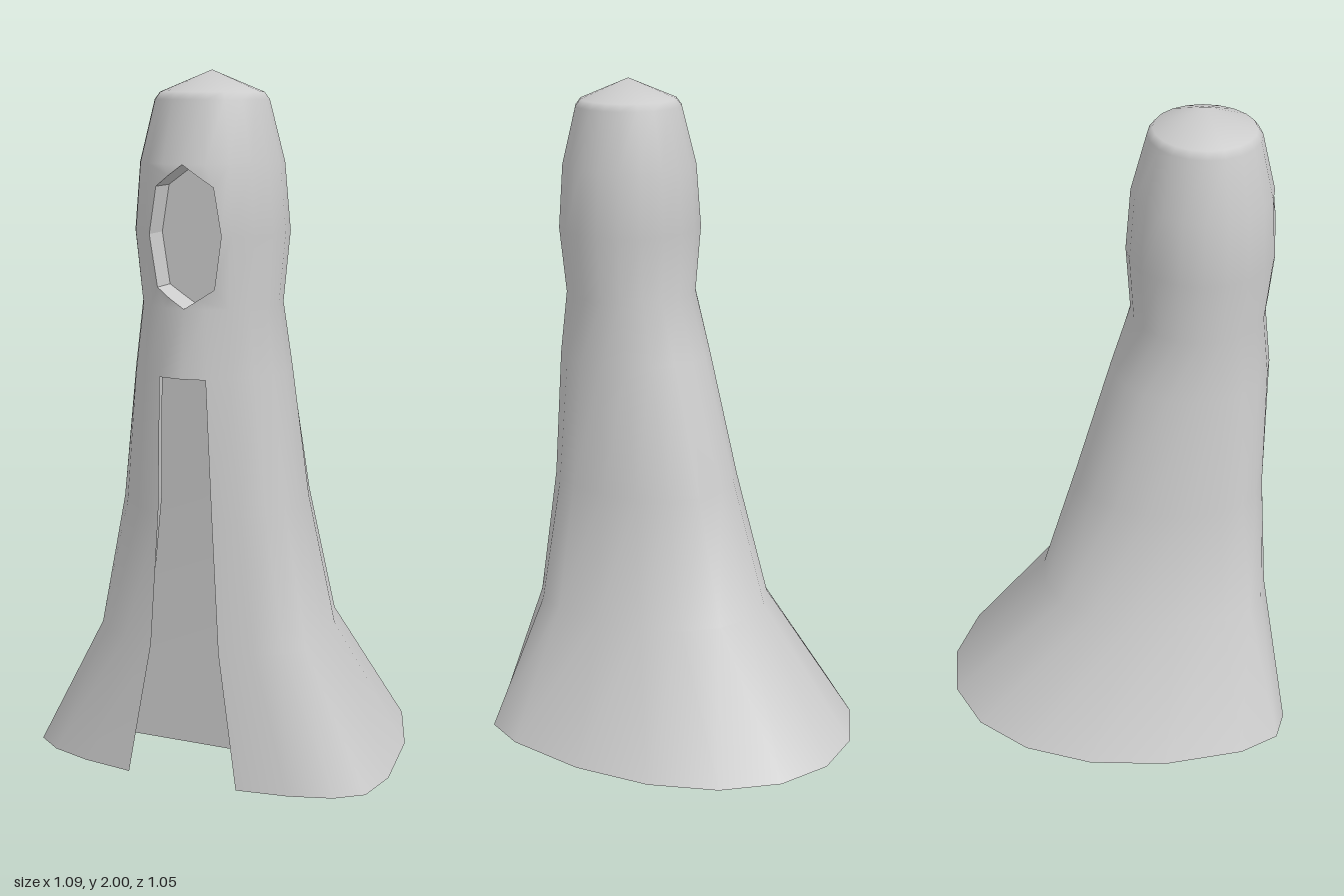
import * as THREE from 'three';
import { mergeVertices } from 'three/addons/utils/BufferGeometryUtils.js';

const SIDES = 20;
const CZ = 0.28; // z of the vertical axis through the head
// Cross-sections: height, half width, depth to the back, depth to the front, front squareness
const RINGS = [
  [0, 0.545, 0.81, 0.25, 0.55],
  [0.39, 0.34, 0.49, 0.225, 0.75],
  [0.78, 0.265, 0.375, 0.215, 0.9],
  [1.17, 0.223, 0.26, 0.223, 1],
  [1.36, 0.2, 0.2, 0.2, 1],
  [1.56, 0.22, 0.215, 0.215, 1],
  [1.75, 0.203, 0.203, 0.203, 1],
  [1.92, 0.16, 0.16, 0.16, 1],
  [1.94, 0.145, 0.145, 0.145, 1],
  [2, 0, 0, 0, 1],
];
const SLIT_TOP = 3, FACE_BOTTOM = 4, FACE_TOP = 6; // ring indices

function sectionAt(y) {
  let i = 0;
  while (i < RINGS.length - 2 && y > RINGS[i + 1][0]) i++;
  const t = (y - RINGS[i][0]) / (RINGS[i + 1][0] - RINGS[i][0]);
  return RINGS[i].map((v, k) => v + (RINGS[i + 1][k] - v) * t);
}

// Point on the cloak; angle 0 is the front and grows towards +x
function surface(angle, y) {
  const [, w, back, front, p] = sectionAt(y);
  const c = Math.cos(angle);
  const z = c > 1e-6 ? front * Math.pow(c, p) : back * Math.min(c, 0);
  return [w * Math.sin(angle), y, CZ + z];
}

function quad(out, a, b, c, d) {
  out.push(...a, ...b, ...c, ...a, ...c, ...d);
}

function toGeometry(points, smooth) {
  let g = new THREE.BufferGeometry();
  g.setAttribute('position', new THREE.Float32BufferAttribute(points, 3));
  if (smooth) g = mergeVertices(g, 1e-4);
  g.computeVertexNormals();
  return g;
}

// Rim of the face opening (x, y), counter-clockwise from the top, with the matching
// point of the surrounding patch (column, y)
const half = [
  [0, 1.75, 0, 1.75],
  [0.043, 1.72, 1, 1.75],
  [0.085, 1.69, 2, 1.75],
  [0.107, 1.56, 2, 1.56],
  [0.085, 1.415, 2, 1.36],
  [0.043, 1.387, 1, 1.36],
  [0, 1.36, 0, 1.36],
];
const mirrored = half.slice(1, -1).reverse().map(([x, y, c, v]) => [-x, y, -c, v]);
const faceLoop = [...half, ...mirrored].reverse();
const STEP = (Math.PI * 2) / SIDES;
const rim = faceLoop.map(([x, y]) => surface(Math.asin(x / sectionAt(y)[1]), y));
const patch = faceLoop.map(([, , c, y]) => surface(c * STEP, y));

function cloakGeometry() {
  const out = [];
  for (let i = 0; i < RINGS.length - 1; i++) {
    for (let j = 0; j < SIDES; j++) {
      const col = j < SIDES / 2 ? j : j - SIDES;
      if (i < SLIT_TOP && (col === 0 || col === -1)) continue; // front slit
      if (i >= FACE_BOTTOM && i < FACE_TOP && col >= -2 && col <= 1) continue; // face patch
      const [y0, y1] = [RINGS[i][0], RINGS[i + 1][0]];
      const a = surface(col * STEP, y0), b = surface((col + 1) * STEP, y0);
      const c = surface((col + 1) * STEP, y1), d = surface(col * STEP, y1);
      if (y1 === 2) out.push(...a, ...b, ...c);
      else quad(out, a, b, c, d);
    }
  }
  // Surface between the face opening and the ordinary grid
  rim.forEach((r, k) => {
    const n = (k + 1) % rim.length;
    quad(out, r, patch[k], patch[n], rim[n]);
  });
  return toGeometry(out, true);
}

// Walls of the face opening and the flat plate behind it
function faceGeometry() {
  const out = [];
  const depth = 0.385;
  const inner = rim.map(([x, y]) => [x, y, depth]);
  rim.forEach((r, k) => {
    const n = (k + 1) % rim.length;
    quad(out, r, rim[n], inner[n], inner[k]);
    out.push(0, 1.56, depth, ...inner[k], ...inner[n]);
  });
  return toGeometry(out, false);
}

// Upright body panel seen through the slit: y, half width, z
function bodyGeometry() {
  const rows = [[0, 0.34, 0.27], [0.39, 0.21, 0.28], [0.78, 0.16, 0.3], [1.17, 0.14, 0.33], [1.34, 0.125, 0.34]];
  const out = [];
  for (let i = 0; i < rows.length - 1; i++) {
    const [y0, w0, z0] = rows[i], [y1, w1, z1] = rows[i + 1];
    quad(out, [-w0, y0, z0], [w0, y0, z0], [w1, y1, z1], [-w1, y1, z1]);
  }
  return toGeometry(out, true);
}

export function createModel() {
  const group = new THREE.Group();
  group.name = 'hoodedFigure';
  const material = new THREE.MeshStandardMaterial({ color: 0xcccccc, side: THREE.DoubleSide });
  const parts = { hoodedCloak: cloakGeometry(), face: faceGeometry(), bodyPanel: bodyGeometry() };
  for (const [name, geometry] of Object.entries(parts)) {
    const mesh = new THREE.Mesh(geometry, material);
    mesh.name = name;
    group.add(mesh);
  }
  return group;
}
